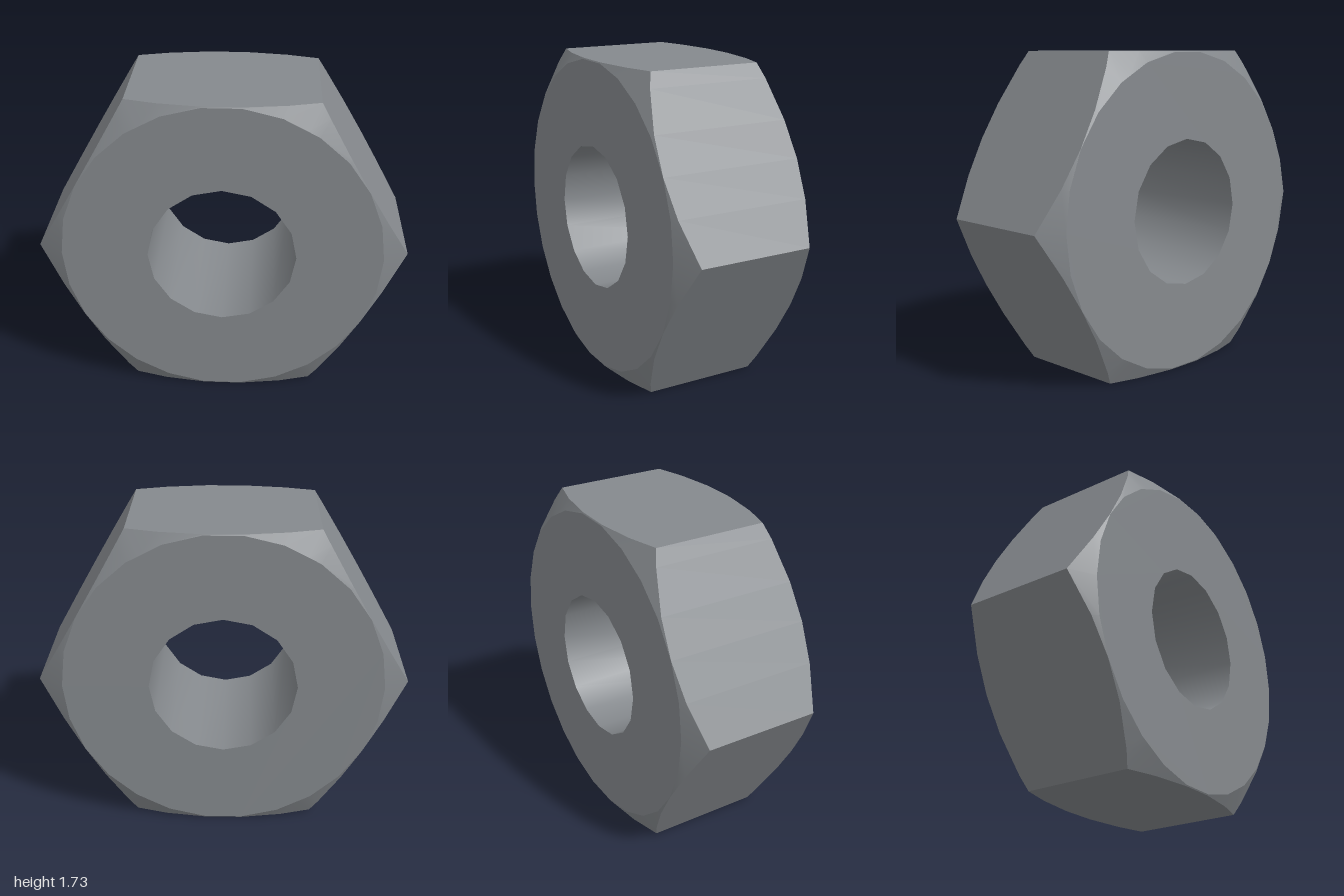
import * as THREE from 'three';
import { mergeVertices } from 'three/addons/utils/BufferGeometryUtils.js';

const APOTHEM = Math.sqrt(3) / 2; // half the width across the flats
const HALF = 0.395;               // half the thickness
const BORE = 0.4;
const SLOPE = Math.tan(Math.PI / 6);

// Radius of a regular polygon with a corner at angle 0, measured at angle a
function polygonRadius(a, sides, corner) {
  const step = (2 * Math.PI) / sides;
  const off = (((a % step) + step) % step) - step / 2;
  return (corner * Math.cos(step / 2)) / Math.cos(off);
}

const polar = (a, r, z) => new THREE.Vector3(r * Math.cos(a), r * Math.sin(a), z);

// Closed band between two rings, smooth or faceted
function band(ringA, ringB, smooth) {
  const pts = [];
  const n = ringA.length;
  for (let i = 0; i < n; i++) {
    const j = (i + 1) % n;
    pts.push(ringA[i], ringA[j], ringB[j], ringA[i], ringB[j], ringB[i]);
  }
  let geo = new THREE.BufferGeometry().setFromPoints(pts);
  if (smooth) geo = mergeVertices(geo, 1e-5);
  geo.computeVertexNormals();
  return geo;
}

export function createModel() {
  const steel = new THREE.MeshStandardMaterial({ color: 0x85898d });
  steel.name = 'steel grey';
  const group = new THREE.Group();
  group.name = 'hexNut';

  const add = (name, geo) => {
    const mesh = new THREE.Mesh(geo, steel);
    mesh.name = name;
    mesh.position.y = APOTHEM;
    group.add(mesh);
    return mesh;
  };

  // Angles of the 26 chamfer corners together with the 6 hexagon corners
  const angles = [];
  for (let k = 0; k < 78; k++) {
    if (k % 3 === 0 || k % 13 === 0) angles.push((k / 78) * 2 * Math.PI);
  }

  // Rings where the chamfer meets the hexagon sides and the end faces
  const outer = (s) => angles.map((a) => {
    const r = polygonRadius(a, 6, 1);
    const p = polygonRadius(a, 26, APOTHEM);
    return polar(a, r, s * (HALF - SLOPE * APOTHEM * (r / p - 1)));
  });
  const rim = (s) => angles.map((a) => polar(a, polygonRadius(a, 26, APOTHEM), s * HALF));
  const bore = (s) => Array.from({ length: 16 }, (_, i) => polar((i * Math.PI) / 8, BORE, s * HALF));

  add('hexSides', band(outer(-1), outer(1), false));
  add('frontChamfer', band(outer(1), rim(1), true));
  add('backChamfer', band(rim(-1), outer(-1), true));
  add('bore', band(bore(1), bore(-1), true));

  // Flat end faces with the hole cut out
  const flat = (v) => new THREE.Vector2(v.x, v.y);
  const face = new THREE.Shape(rim(1).map(flat));
  face.holes.push(new THREE.Path(bore(1).map(flat)));
  const faceGeo = new THREE.ShapeGeometry(face);
  add('frontFace', faceGeo).position.z = HALF;
  const back = add('backFace', faceGeo);
  back.position.z = -HALF;
  back.rotation.y = Math.PI;

  return group;
}
